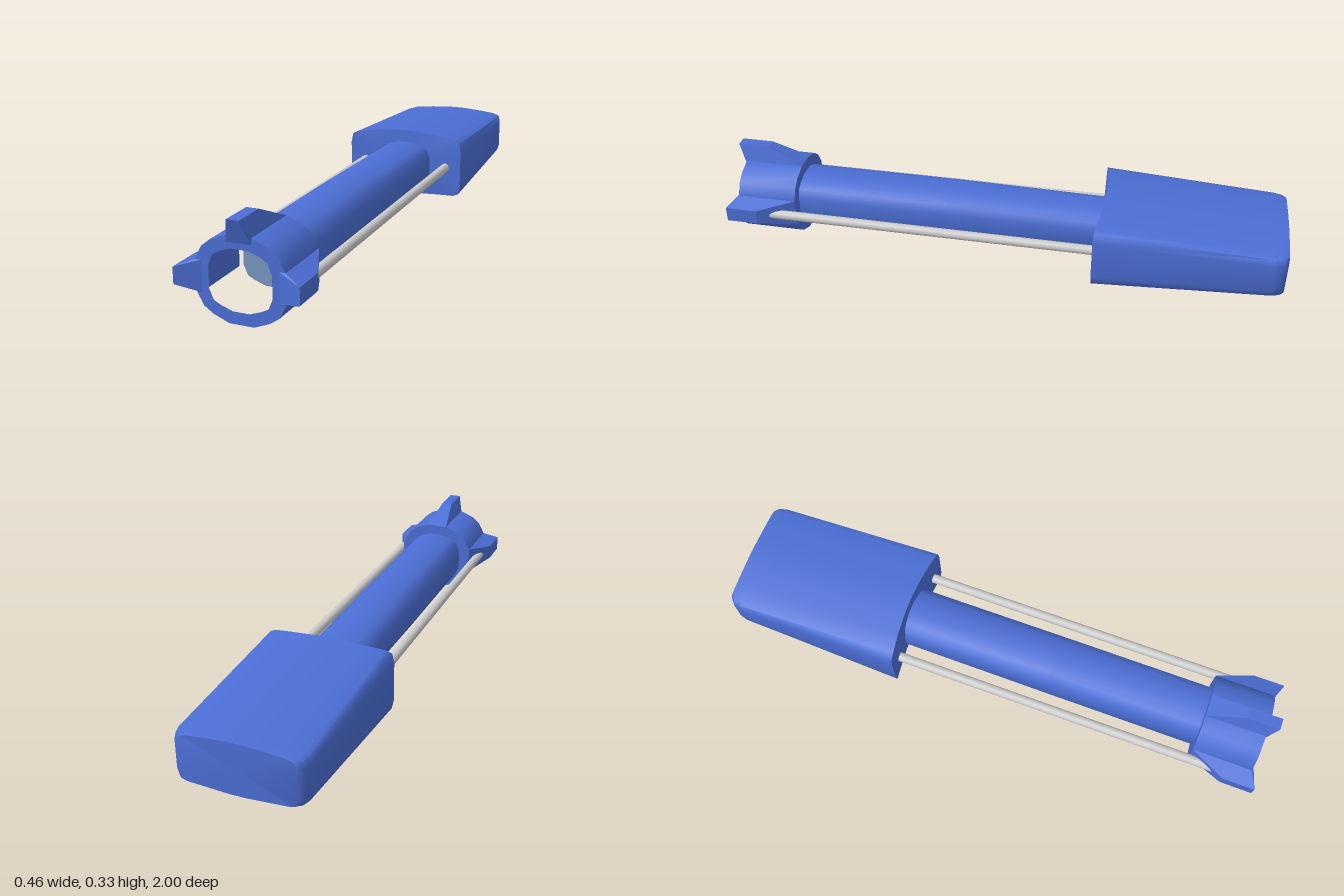
import * as THREE from 'three';
import { toCreasedNormals } from 'three/addons/utils/BufferGeometryUtils.js';
import { ConvexGeometry } from 'three/addons/geometries/ConvexGeometry.js';

const blue = new THREE.MeshStandardMaterial({ color: 0x4c6fd6 });
const grey = new THREE.MeshStandardMaterial({ color: 0xcccccc });
const pale = new THREE.MeshStandardMaterial({ color: 0x7896c0 });

// Full outline from its +x half, listed top to bottom
const mirror = (half) => [...half, ...half.slice().reverse().map(([x, y]) => [-x, y])];

// Closed skin through cross-sections ordered from front (+z) to back
function loft(sections, crease) {
  const pos = [];
  const tri = (...pts) => pts.forEach((p) => pos.push(...p));
  const n = sections[0].length;
  const centre = (s) => [0, 1, 2].map((k) => s.reduce((sum, p) => sum + p[k], 0) / n);
  const first = sections[0], last = sections[sections.length - 1];
  for (let j = 0; j < n; j++) {
    const k = (j + 1) % n;
    for (let i = 0; i < sections.length - 1; i++) {
      const s = sections[i], t = sections[i + 1];
      tri(s[j], s[k], t[j]);
      tri(s[k], t[k], t[j]);
    }
    tri(centre(first), first[k], first[j]);
    tri(centre(last), last[j], last[k]);
  }
  const geo = new THREE.BufferGeometry();
  geo.setAttribute('position', new THREE.Float32BufferAttribute(pos, 3));
  return toCreasedNormals(geo, crease);
}

// Outline scaled about the axis height and placed at z
const AXIS = 0.136;
const section = (outline, z, sx = 1, sy = 1) =>
  outline.map(([x, y]) => [x * sx, AXIS + (y - AXIS) * sy, z]);

const boreOutline = mirror([
  [0.027, 0.231], [0.064, 0.219], [0.089, 0.203], [0.102, 0.168],
  [0.102, 0.098], [0.088, 0.065], [0.064, 0.053], [0.027, 0.04],
]);
const collarOutline = mirror([
  [0.04, 0.27], [0.092, 0.25], [0.122, 0.226], [0.145, 0.183],
  [0.145, 0.086], [0.122, 0.043], [0.092, 0.022], [0.04, 0.001],
]);
const handleOutline = mirror([
  [0.03, 0.264], [0.06, 0.262], [0.13, 0.256], [0.2, 0.247], [0.222, 0.237], [0.229, 0.203],
  [0.229, 0.063], [0.222, 0.031], [0.2, 0.022], [0.13, 0.017], [0.06, 0.012], [0.03, 0.01],
]);

// Fin pointing along +y: wide sloping foot, narrow tip reaching forward
function finGeometry(foot, tip, footHalf, tipHalf) {
  const pts = [];
  for (const s of [-1, 1]) {
    for (const [r, w, z] of [
      [foot, footHalf, 0.755], [tip, tipHalf, 0.885], [tip, tipHalf, 1], [foot, footHalf, 0.97],
      [foot - 0.02, footHalf, 0.755], [foot - 0.02, footHalf, 0.97],
    ]) pts.push(new THREE.Vector3(s * w, r, z));
  }
  return new ConvexGeometry(pts);
}

export function createModel() {
  const group = new THREE.Group();
  const add = (name, geo, mat) => {
    const mesh = new THREE.Mesh(geo, mat);
    mesh.name = name;
    group.add(mesh);
    return mesh;
  };

  // Barrel, narrowing slightly in height toward the handle
  add('barrel', loft([
    section(boreOutline, 0.765), section(boreOutline, 0.2),
    section(boreOutline, -0.4, 1, 0.87),
  ], 0.95), blue);

  // Pale disc at the bottom of the collar opening
  const disc = new THREE.Shape(boreOutline.map(([x, y]) => new THREE.Vector2(x, y)));
  add('lens', new THREE.ShapeGeometry(disc), pale).position.z = 0.77;

  // Open collar at the front end
  const ring = new THREE.Shape(collarOutline.map(([x, y]) => new THREE.Vector2(x, y)));
  ring.holes.push(new THREE.Path(boreOutline.map(([x, y]) => new THREE.Vector2(x, y))));
  const collar = new THREE.ExtrudeGeometry(ring, { depth: 0.215, bevelEnabled: false });
  add('collar', toCreasedNormals(collar, 0.8), blue).position.z = 0.755;

  // Three fins on the collar
  add('topFin', finGeometry(0.27, 0.328, 0.04, 0.02), blue);
  for (const [side, name] of [[1, 'left'], [-1, 'right']]) {
    const fin = add(name + 'Fin', finGeometry(0.145, 0.202, 0.049, 0.027), blue);
    fin.rotation.z = -side * Math.PI / 2;
    fin.position.y = 0.134;

    // Side rod running from fin to handle
    const rod = add(name + 'Rod', new THREE.CylinderGeometry(0.017, 0.017, 1.26, 16), grey);
    rod.rotation.x = Math.PI / 2;
    rod.position.set(side * 0.167, 0.134, 0.23);
  }

  // Tapered handle with a slightly hollowed front and rounded rear corners
  const front = section(handleOutline, 0).map(([x, y]) => [x, y, -0.365 + 0.02 * (x / 0.229) ** 2]);
  add('handle', loft([
    front,
    section(handleOutline, -0.955, 0.945, 0.72),
    section(handleOutline, -0.985, 0.91, 0.71),
    section(handleOutline, -1, 0.84, 0.7),
  ], 0.98), blue);

  return group;
}
